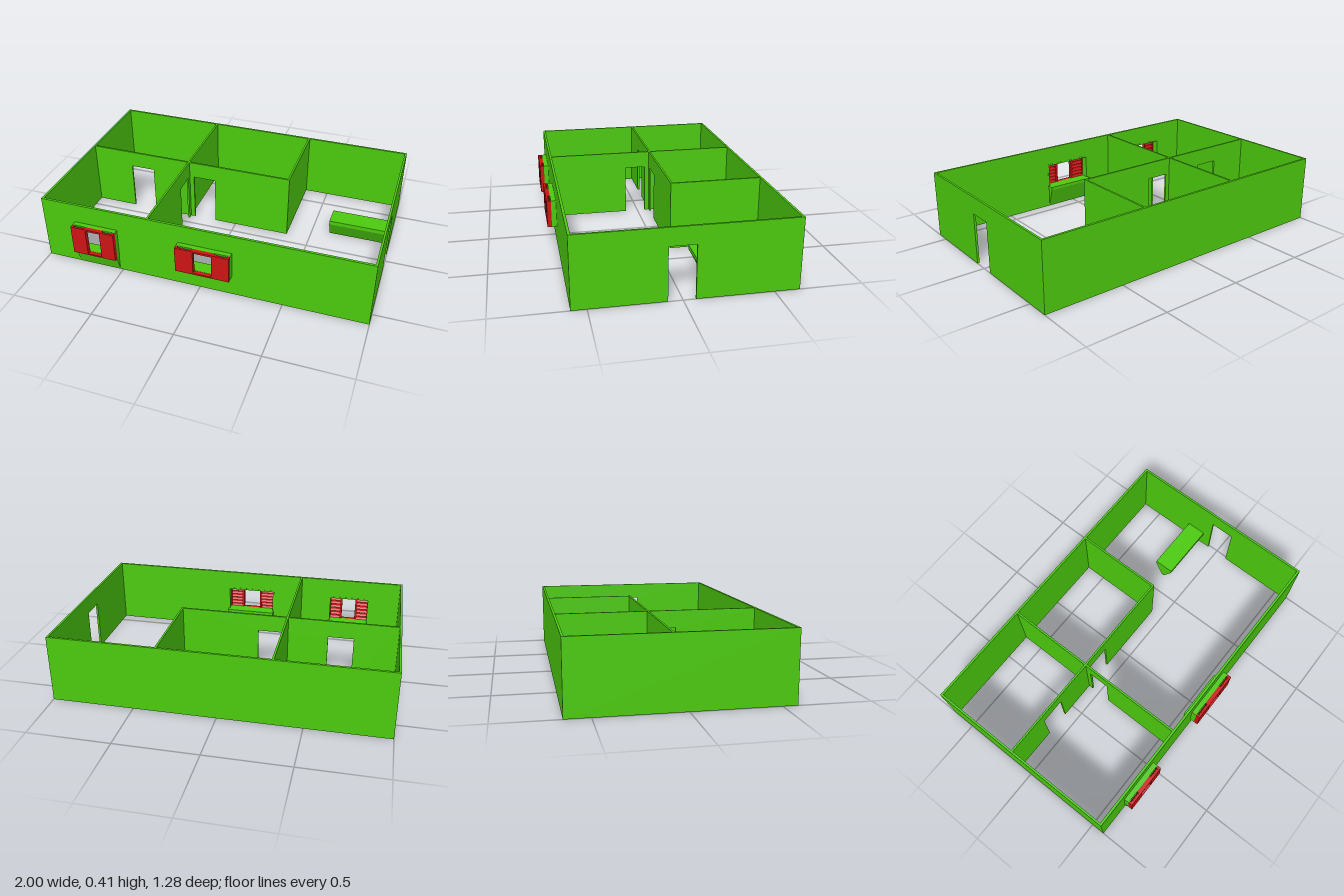
import * as THREE from 'three';

const GREEN = new THREE.MeshStandardMaterial({ color: 0x4ccb0e });
const RED = new THREE.MeshStandardMaterial({ color: 0xcc1414 });
const HEIGHT = 0.415, DOOR = 0.31;

export function createModel() {
  const model = new THREE.Group();

  const add = (parent, name, geometry, material) => {
    const mesh = new THREE.Mesh(geometry, material);
    mesh.name = name;
    parent.add(mesh);
    return mesh;
  };

  // Box given by its limits on each axis
  const box = (parent, name, material, [x0, x1], [y0, y1], [z0, z1]) => {
    const mesh = add(parent, name, new THREE.BoxGeometry(x1 - x0, y1 - y0, z1 - z0), material);
    mesh.position.set((x0 + x1) / 2, (y0 + y1) / 2, (z0 + z1) / 2);
    return mesh;
  };

  const toShape = pts => new THREE.Shape(pts.map(p => new THREE.Vector2(...p)));

  // Extrudes a (z, y) outline along x
  const alongX = (shape, x0, x1) => new THREE.ExtrudeGeometry(shape, { depth: x1 - x0, bevelEnabled: false })
    .rotateY(-Math.PI / 2).translate(x1, 0, 0);

  // Wall outline with door notches at the floor and window holes
  const wallShape = (a, b, doors = [], windows = []) => {
    const pts = [[a, 0]];
    for (const [d0, d1] of doors) pts.push([d0, 0], [d0, DOOR], [d1, DOOR], [d1, 0]);
    pts.push([b, 0], [b, HEIGHT], [a, HEIGHT]);
    const shape = toShape(pts);
    for (const [x0, x1, y0, y1] of windows) {
      shape.holes.push(new THREE.Path([[x0, y0], [x0, y1], [x1, y1], [x1, y0]].map(p => new THREE.Vector2(...p))));
    }
    return shape;
  };
  const wallX = (name, [a, b], z0, z1, doors, windows) => add(model, name,
    new THREE.ExtrudeGeometry(wallShape(a, b, doors, windows), { depth: z1 - z0, bevelEnabled: false }).translate(0, 0, z0), GREEN);
  const wallZ = (name, [a, b], x0, x1, doors) => add(model, name, alongX(wallShape(a, b, doors), x0, x1), GREEN);

  const windows = [
    { name: 'rightWindow', x: [-0.79, -0.515], y: [0.105, 0.292], gap: [-0.695, -0.605], inner: 0.543, outerWedge: true },
    { name: 'leftWindow', x: [-0.13, 0.197], y: [0.132, 0.298], gap: [-0.02, 0.092], inner: 0.535, outerWedge: false },
  ];

  // Outer walls
  wallX('frontWall', [-1, 1], 0.57, 0.585, [], windows.map(w =>
    [w.x[0] + 0.008, w.x[1] - 0.008, w.y[0] + 0.008, w.y[1] - 0.008]));
  wallX('backWall', [-1, 1], -0.642, -0.628);
  wallZ('rightWall', [-0.628, 0.57], -1, -0.987);
  wallZ('leftWall', [-0.628, 0.57], 0.987, 1, [[-0.07, 0.08]]);

  // Inner walls
  wallX('crossPartition', [-0.987, 0.351], -0.091, -0.079, [[-0.725, -0.57], [-0.285, -0.14]]);
  wallZ('longPartition', [-0.628, 0.57], -0.325, -0.313, [[-0.05, 0.08]]);
  wallZ('shortPartition', [-0.628, -0.091], 0.339, 0.351);

  for (const w of windows) {
    const group = new THREE.Group();
    group.name = w.name;
    model.add(group);
    const [x0, x1] = w.x, [y0, y1] = w.y, t = 0.01;

    // Frame tunnel through the wall
    for (const x of [x0, x1 - t]) box(group, 'jamb', GREEN, [x, x + t], w.y, [0.569, 0.615]);
    box(group, 'head', GREEN, w.x, [y1 - t, y1], [0.569, 0.615]);
    box(group, 'sill', GREEN, w.x, [y0, y0 + t], [0.569, 0.615]);

    // Tapered supports below the sill
    const wedge = (name, edge, foot) => {
      const pts = [[foot, 0], [foot, y0 + t], [edge, y0 + t], [edge, y0 - 0.01]];
      if (edge > foot) pts.reverse();
      add(group, name, alongX(toShape(pts), x0 + 0.003, x1 - 0.003), GREEN);
    };
    wedge('innerSillSupport', w.inner, 0.571);
    if (w.outerWedge) wedge('outerSillSupport', 0.613, 0.584);

    // Pair of shutters with slats on the room side
    for (const [a, b] of [[x0, w.gap[0]], [w.gap[1], x1]]) {
      box(group, 'shutterPanel', RED, [a, b], w.y, [0.628, 0.641]);
      for (const x of [a, b - 0.014]) box(group, 'shutterStile', RED, [x, x + 0.014], w.y, [0.615, 0.629]);
      const count = 7, step = (y1 - y0) / count;
      for (let i = 0; i < count; i++) {
        const y = y0 + (i + 0.5) * step;
        const slat = box(group, 'shutterSlat', RED, [a + 0.013, b - 0.013], [y - 0.007, y + 0.007], [0.62, 0.624]);
        slat.rotation.x = 0.5;
      }
    }
    box(group, 'shutterTopRail', RED, w.gap, [y1 - 0.012, y1], [0.615, 0.641]);
    box(group, 'shutterBottomRail', RED, w.gap, [y0, y0 + 0.009], [0.615, 0.641]);
  }

  // Counter beside the entrance, tapering to a narrow foot
  add(model, 'counter', alongX(toShape([
    [-0.195, 0], [-0.181, 0], [-0.125, 0.107], [-0.125, 0.132], [-0.25, 0.132], [-0.25, 0.107],
  ]), 0.615, 0.99), GREEN);

  return model;
}
